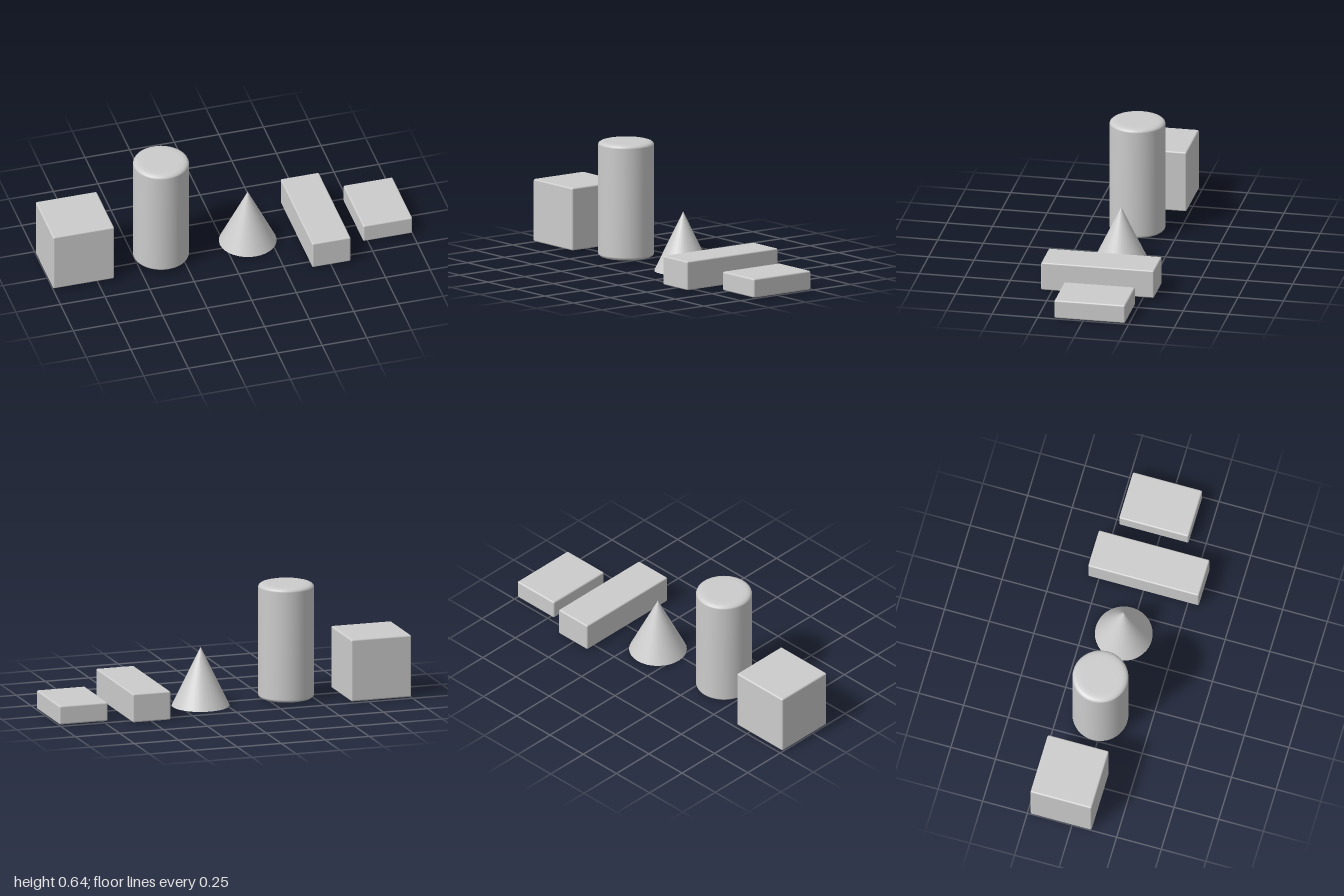
import * as THREE from 'three';
import { RoundedBoxGeometry } from 'three/addons/geometries/RoundedBoxGeometry.js';

export function createModel() {
  const group = new THREE.Group();
  const grey = new THREE.MeshStandardMaterial({ color: 0xcccccc });
  grey.name = 'light grey';

  const add = (name, geometry, x, y, z) => {
    const mesh = new THREE.Mesh(geometry, grey);
    mesh.name = name;
    mesh.position.set(x, y, z);
    group.add(mesh);
  };

  // Blocks with softened edges: name, width, height, depth, x, z, edge radius
  const base = 0.003;
  const blocks = [
    ['cube', 0.343, 0.343, 0.343, -0.8285, -0.062, 0.009],
    ['longBlock', 0.215, 0.158, 0.62, 0.5025, 0, 0.008],
    ['flatBlock', 0.276, 0.104, 0.389, 0.862, -0.036, 0.009],
  ];
  for (const [name, w, h, d, x, z, r] of blocks) {
    add(name, new RoundedBoxGeometry(w, h, d, 3, r), x, base + h / 2, z);
  }

  // Upright cylinder with bevelled rims, mirrored top and bottom
  const half = 0.3175;
  const rim = [[0, 0], [0.1, 0], [0.125, 0.001], [0.139, 0.005], [0.148, 0.012], [0.151, 0.02]];
  const profile = [
    ...rim.map(([r, inset]) => new THREE.Vector2(r, inset - half)),
    ...rim.slice().reverse().map(([r, inset]) => new THREE.Vector2(r, half - inset)),
  ];
  add('cylinder', new THREE.LatheGeometry(profile, 48), -0.357, base + half, -0.025);

  // Sharp cone with a closed base
  add('cone', new THREE.ConeGeometry(0.156, 0.323, 32), 0.132, 0.1615, -0.034);

  return group;
}
